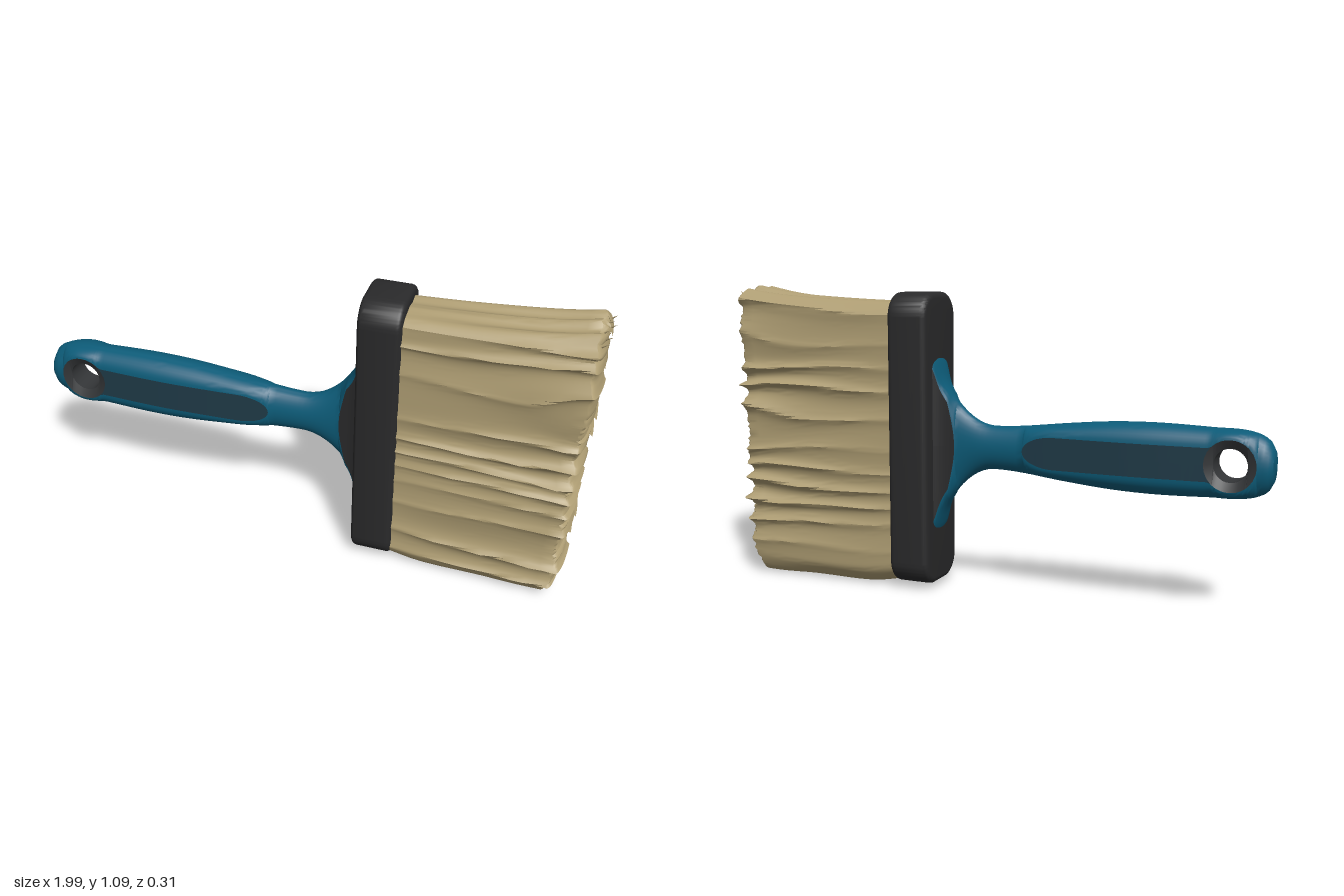
import * as THREE from 'three';
import { toCreasedNormals } from 'three/addons/utils/BufferGeometryUtils.js';

const mat = (name, color) => {
  const m = new THREE.MeshStandardMaterial({ color });
  m.name = name;
  return m;
};

// Smooth curve through [x, value] pairs
function curve(pairs) {
  const f = new THREE.CubicInterpolant(pairs.map(p => p[0]), pairs.map(p => p[1]), 1);
  return x => f.evaluate(x)[0];
}

// Adds the quad strip between two rows of points to buckets chosen by pick(j)
function strip(a, b, buckets, pick) {
  for (let j = 0; j < a.length; j++) {
    const k = (j + 1) % a.length;
    const key = pick(j);
    if (!key) continue;
    (buckets[key] ??= []).push(...a[j], ...b[j], ...b[k], ...a[j], ...b[k], ...a[k]);
  }
}

function meshFrom(name, positions, material, crease) {
  const g = new THREE.BufferGeometry();
  g.setAttribute('position', new THREE.Float32BufferAttribute(positions, 3));
  const mesh = new THREE.Mesh(toCreasedNormals(g, crease), material);
  mesh.name = name;
  return mesh;
}

// Handle: lofted halves above and below the axis, parted by the hanging hole
function buildHandle(materials) {
  const axisY = 0.528, axisZ = -0.015, holeX = -0.865, holeR = 0.056, rimR = 0.086, arc = 9;
  const height = curve([[-1, 0.05], [-0.985, 0.08], [-0.96, 0.098], [-0.92, 0.11], [-0.8, 0.116], [-0.6, 0.121],
    [-0.45, 0.116], [-0.3, 0.102], [-0.15, 0.085], [-0.05, 0.078], [0, 0.08], [0.05, 0.1], [0.1, 0.14],
    [0.14, 0.19], [0.17, 0.245], [0.19, 0.31], [0.2, 0.33]]);
  const depth = curve([[-1, 0.042], [-0.985, 0.055], [-0.95, 0.06], [-0.8, 0.063], [-0.55, 0.07], [-0.3, 0.062],
    [-0.1, 0.05], [0.02, 0.046], [0.12, 0.046], [0.17, 0.055], [0.2, 0.07]]);
  const chord = (x, r) => Math.sqrt(Math.max(0, r * r - (x - holeX) ** 2));
  const panel = (x, h) => {
    if (x > 0.115) return (h - 0.035) * Math.sqrt(Math.min(1, (x - 0.115) / 0.025));
    if (x < holeX) return 0;
    return 0.056 * Math.sqrt(Math.max(0, 1 - Math.max(0, (x + 0.26) / 0.115) ** 2));
  };

  // Stations, closer together around the hole and the panel ends
  const xs = [-1, -0.995, -0.985, -0.97, -0.96];
  for (let i = 0; i <= 12; i++) {
    xs.push(holeX - rimR * Math.cos(i * Math.PI / 12), holeX - holeR * Math.cos(i * Math.PI / 12));
  }
  for (let i = 0; i < 24; i++) xs.push(-0.76 + i * 0.0255);
  for (let i = 0; i < 9; i++) xs.push(-0.145 - 0.03 * (1 - i / 8) ** 2);
  for (let i = 0; i < 12; i++) xs.push(-0.12 + i * 0.02);
  for (let i = 0; i <= 14; i++) xs.push(0.115 + 0.085 * (i / 14) ** 1.4);
  const stations = [...new Set(xs.map(x => +x.toFixed(4)))].sort((a, b) => a - b);

  const section = (x, side, scale = 1) => {
    const h = height(x) * scale, d = depth(x) * scale;
    const g = chord(x, holeR), rim = chord(x, rimR);
    const w = Math.min(h, Math.max(rim, panel(x, h)));
    const away = Math.max(holeR, Math.abs(x - holeX));
    const recess = 0.75 + 0.25 * Math.min(1, (away - holeR) / (rimR - holeR));
    const half = [[g, d * recess], [rim, d], [w, d]];
    for (let i = 1; i <= arc; i++) {
      const a = i / arc * Math.PI / 2;
      half.push([w + (h - w) * Math.sin(a), d * Math.cos(a)]);
    }
    const loop = [...half, ...half.slice(0, -1).reverse().map(([y, z]) => [y, -z])];
    const points = loop.map(([y, z]) => [x, axisY + side * y, axisZ + z]);
    // The lower half is the mirrored loop, walked the other way round
    return side > 0 ? points : points.reverse();
  };

  const buckets = {};
  for (const side of [1, -1]) {
    let prev = section(-1, side, 0);
    let prevX = -1;
    for (const x of stations) {
      const row = section(x, side);
      const mid = (x + prevX) / 2;
      const last = row.length - 1;
      strip(prev, row, buckets, j => {
        if (j === last) return chord(mid, holeR) > 0 ? 'rim' : null;
        const n = Math.min(j, last - 1 - j);
        if (n === 0) return chord(mid, rimR) > 0 ? 'rim' : null;
        if (n === 1) return mid > 0.115 ? 'neck' : mid > -0.145 ? 'grip' : 'inlay';
        return 'grip';
      });
      prev = row;
      prevX = x;
    }
  }
  const group = new THREE.Group();
  group.name = 'handle';
  group.add(
    meshFrom('handleGrip', buckets.grip, materials.teal, 0.7),
    meshFrom('gripInlay', buckets.inlay, materials.slate, 0.7),
    meshFrom('hangingHoleRim', buckets.rim, materials.rubber, 0.7),
    meshFrom('neckInlay', buckets.neck, materials.black, 0.7));
  return group;
}

// Rounded rectangle in the (z, y) plane, counter-clockwise
function roundedRect(hw, hh, r) {
  const s = new THREE.Shape();
  s.absarc(hw - r, hh - r, r, 0, Math.PI / 2);
  s.absarc(-hw + r, hh - r, r, Math.PI / 2, Math.PI);
  s.absarc(-hw + r, -hh + r, r, Math.PI, Math.PI * 1.5);
  s.absarc(hw - r, -hh + r, r, Math.PI * 1.5, Math.PI * 2);
  s.closePath();
  return s;
}

// Ferrule: rounded block with softened rims
function buildFerrule(material) {
  const b = 0.02;
  const g = new THREE.ExtrudeGeometry(roundedRect(0.1275, 0.525, 0.085), {
    depth: 0.15 - 2 * b, bevelThickness: b, bevelSize: b, bevelOffset: -b, bevelSegments: 4, curveSegments: 10 });
  g.rotateY(Math.PI / 2);
  g.translate(0.19 + b, 0.545, -0.0125);
  const mesh = new THREE.Mesh(toCreasedNormals(g, 0.6), material);
  mesh.name = 'ferrule';
  return mesh;
}

// Bristles: clumped block whose ridges grow to the tips and run over the end
function buildBristles(material) {
  let seed = 7;
  const rand = () => (seed = (seed * 16807) % 2147483647) / 2147483647;
  const hz = 0.108, hy = 0.5;
  const outline = roundedRect(hz, hy, 0.06).getSpacedPoints(280).slice(0, -1);
  const jitter = outline.map(() => rand() - 0.5);
  // Sharp crests, wandering with position so no two clumps match
  const ridge = (y, z, t) => {
    const p = y / 0.088 + 0.35 * Math.sin(y * 9 + 1) + z * 3 * Math.sin(y * 13)
      + 0.22 * t * Math.sin(y * 21 + z * 7 + t * 3);
    const strength = 0.75 + 0.35 * Math.sin(y * 17 + z * 11);
    return (1 - 1.45 * Math.sqrt(Math.abs(Math.sin(Math.PI * p)))) * strength;
  };
  const topRise = curve([[0, 0], [0.5, 0.006], [0.75, 0.022], [1, 0.05]]);
  const bottomDrop = curve([[0, 0.005], [0.2, 0.024], [0.7, 0.016], [1, 0.012]]);
  const point = (p, j, t, k) => {
    const v = p.y / hy, u = p.x / hz;
    const grow = 0.25 + 0.75 * t;
    const r = ridge(p.y, p.x, t);
    const edge = Math.max(0, (Math.abs(v) - 0.88) / 0.12);
    const squeeze = Math.cos(k * Math.PI / 2);
    const z = (p.x * (1 + 0.2 * t) + u * 0.027 * r * grow) * squeeze;
    const ripple = edge * grow * 0.012 * Math.sin(u * 9 + t * 2);
    const y = p.y + Math.sign(v) * ripple + (v > 0 ? v * v * topRise(t) : -v * v * bottomDrop(t))
      - 0.02 * k * v + 0.008 * t * Math.sin(p.y * 25 + t * 5);
    const tip = 0.6 + 0.018 * v - (v < -0.88 ? 0.03 * edge : 0);
    const x = 0.33 + tip * t + 0.025 * Math.sin(k * Math.PI / 2)
      + t ** 6 * (0.016 * r + 0.012 * jitter[j]);
    return [Math.min(1, x), Math.max(0, 0.533 + y), -0.01 + z];
  };
  const steps = [];
  for (let i = 0; i <= 14; i++) steps.push([i / 14, 0]);
  for (let i = 1; i <= 7; i++) steps.push([1, i / 7]);
  const rows = steps.map(([t, k]) => outline.map((p, j) => point(p, j, t, k)));
  const buckets = {};
  for (let i = 1; i < rows.length; i++) strip(rows[i - 1], rows[i], buckets, () => 'bristle');

  const group = new THREE.Group();
  group.name = 'bristles';
  group.add(meshFrom('bristleBlock', buckets.bristle, material, 0.6));
  // Stray tufts at the upper tip corner
  for (let i = 0; i < 6; i++) {
    const g = new THREE.ConeGeometry(0.016, 0.09, 5);
    g.scale(1, 1, 0.6);
    const tuft = new THREE.Mesh(g, material);
    tuft.name = 'strayTuft';
    tuft.position.set(0.93 + 0.02 * rand(), 1.035 + 0.015 * rand(), 0.08 - i * 0.034);
    tuft.rotation.set((rand() - 0.5) * 0.8, 0, -0.7 - 0.4 * rand());
    group.add(tuft);
  }
  return group;
}

export function createModel() {
  const materials = {
    teal: mat('teal plastic', 0x0d5c79),
    slate: mat('slate inlay', 0x1f3a47),
    rubber: mat('dark grey rim', 0x343638),
    black: mat('black plastic', 0x2a2a2b),
    straw: mat('straw bristle', 0xae9d73),
  };
  const model = new THREE.Group();
  model.name = 'paintBrush';
  model.add(buildHandle(materials), buildFerrule(materials.black), buildBristles(materials.straw));
  return model;
}
